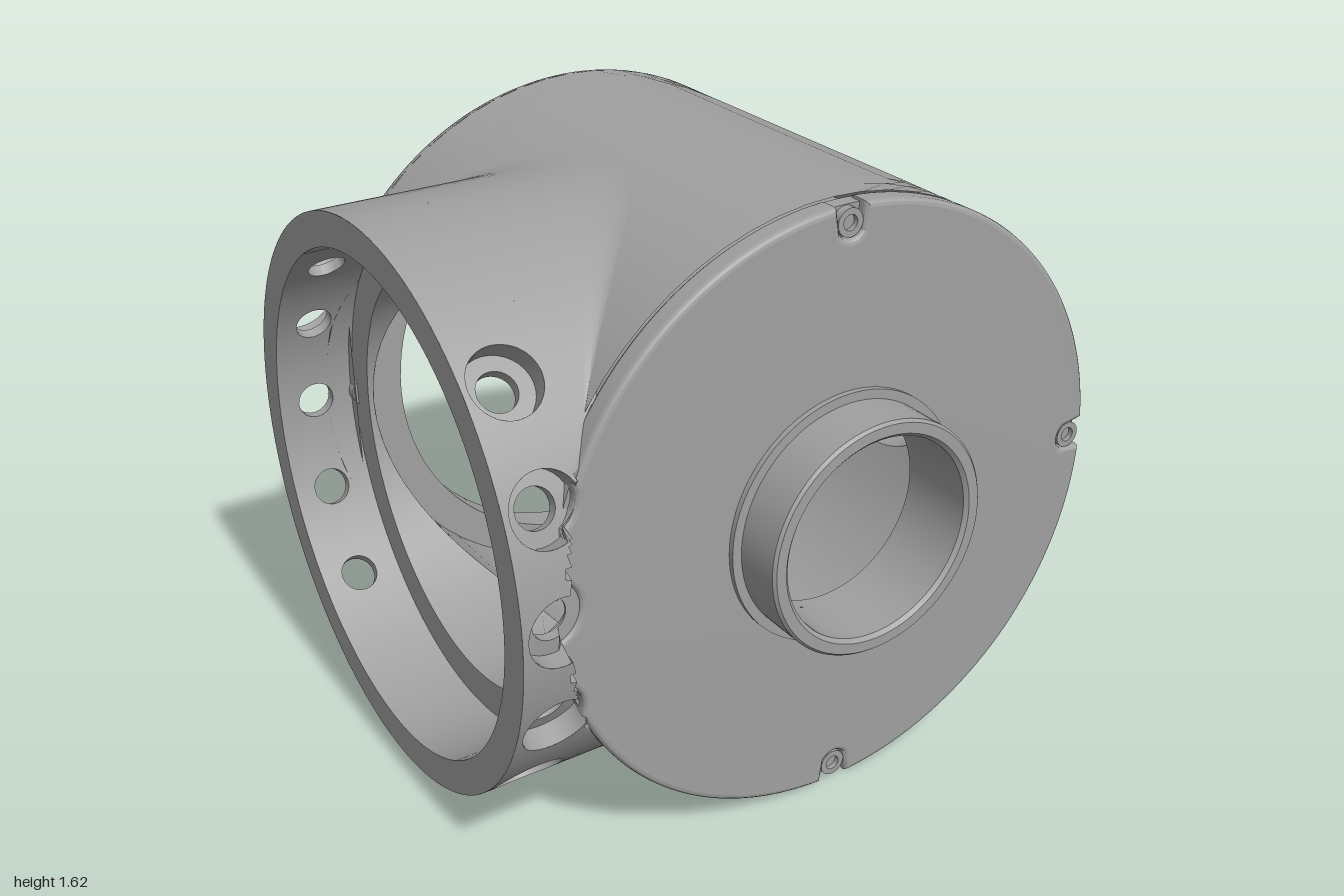
import * as THREE from 'three';
import { mergeGeometries, toCreasedNormals } from 'three/addons/utils/BufferGeometryUtils.js';

const CX = -0.065;   // x of the main body axis
const CZ = -0.035;   // z of the side pipe axis
const BODY = 0.81, CAVITY = 0.7, LIP = 0.605, FLANGE = 0.75, RECESS = 0.66, PASSAGE = 0.56, BORE = 0.27;
const HOLE_X = -0.895; // x of the flange bolts
const TAU = Math.PI * 2;

// Grid surface from a rule f(i, j) -> [x, y, z]
function surface(nu, nv, f) {
  const pos = [], index = [];
  for (let i = 0; i <= nu; i++) for (let j = 0; j <= nv; j++) pos.push(...f(i, j));
  for (let i = 0; i < nu; i++) for (let j = 0; j < nv; j++) {
    const a = i * (nv + 1) + j, b = a + nv + 1;
    index.push(a, b, a + 1, b, b + 1, a + 1);
  }
  const g = new THREE.BufferGeometry();
  g.setAttribute('position', new THREE.Float32BufferAttribute(pos, 3));
  g.setIndex(index);
  return g;
}

// Cylinder coordinates (radius, angle, distance along axis) to model space
const onBody = (R, a, s) => [R * Math.cos(a) + CX, R * Math.sin(a), s];
const onPipe = (R, a, s) => [s, R * Math.sin(a), R * Math.cos(a) + CZ];
// Trim the side pipe where it meets the front cap and the back rim
const trimmed = (R, a, s) => {
  let [x, y, z] = onPipe(R, a, s);
  if (Math.hypot(x - CX, y) < BODY) z = Math.min(z, 0.63);
  z = Math.max(z, -0.71 - THREE.MathUtils.clamp(-0.75 - x, 0, 0.08));
  return [x, y, z];
};

// Piece of cylinder wall with a round hole drilled towards the axis
function drilledWall(map, R, a, half, s0, s1, s, r, n = 8, rows = 6) {
  const corners = [[-half, s0], [half, s0], [half, s1], [-half, s1], [-half, s0]];
  return surface(rows, 4 * n, (i, j) => {
    const k = Math.min(3, Math.floor(j / n)), t = j / n - k, q = i / rows;
    const pa = THREE.MathUtils.lerp(corners[k][0], corners[k + 1][0], t);
    const ps = THREE.MathUtils.lerp(corners[k][1], corners[k + 1][1], t);
    const phi = Math.atan2(ps - s, R * pa);
    const ha = Math.asin(r * Math.cos(phi) / R);
    const hs = THREE.MathUtils.clamp(s + r * Math.sin(phi), s0, s1);
    return map(R, a + THREE.MathUtils.lerp(ha, pa, q), THREE.MathUtils.lerp(hs, ps, q));
  });
}

// Inside of a drilled hole: list of [hole radius, cylinder radius]
const drilledHole = (map, a, s, steps) => surface(steps.length - 1, 32, (i, j) => {
  const [r, R] = steps[i], phi = j / 32 * TAU;
  return map(R, a + Math.asin(r * Math.cos(phi) / R), s + r * Math.sin(phi));
});

// x where a line at height y meets a cylinder of radius R about the body axis
const saddle = (R, y, side) => CX + side * Math.sqrt(Math.max(0, R * R - y * y));

// Passage along x that ends on the cavity wall
const bore = (r, x0, side) => surface(1, 96, (i, j) => {
  const a = j / 96 * TAU;
  return onPipe(r, a, i ? saddle(CAVITY, r * Math.sin(a), side) : x0);
});

const lathe = (pts, n = 96) => new THREE.LatheGeometry(pts.map(p => new THREE.Vector2(...p)), n);
const latheZ = (pts, n) => lathe(pts, n).rotateX(Math.PI / 2);
const latheX = pts => lathe(pts).rotateZ(-Math.PI / 2).translate(0, 0, CZ);

// Pull disc edges back so they do not stick into the left recess
function clearRecess(g) {
  const p = g.attributes.position;
  for (let i = 0; i < p.count; i++) if (Math.abs(p.getY(i)) < 0.24) p.setX(i, Math.max(p.getX(i), -0.79));
  return g;
}

// Disc outline with round notches [x, y, radius] cut into its edge
function discShape(R, notches, innerR) {
  const pts = [];
  for (let i = 0; i < 720; i++) {
    const t = i / 720 * TAU;
    let r = R;
    for (const [x, y, rho] of notches) {
      const c = x * Math.cos(t) + y * Math.sin(t);
      const h = rho * rho - (x * Math.sin(t) - y * Math.cos(t)) ** 2;
      if (c > 0 && h > 0) r = Math.min(r, c - Math.sqrt(h));
    }
    pts.push(new THREE.Vector2(r * Math.cos(t), r * Math.sin(t)));
  }
  const shape = new THREE.Shape(pts);
  shape.holes.push(new THREE.Path().absarc(0, 0, innerR, 0, TAU, true));
  return shape;
}

export function createModel() {
  const group = new THREE.Group();
  const housing = new THREE.Group();
  housing.name = 'housing';
  housing.position.y = BODY;
  group.add(housing);
  const grey = new THREE.MeshStandardMaterial({ color: 0xa0a0a0, side: THREE.DoubleSide });
  grey.name = 'grey metal';

  function add(name, geos, crease = 0.5) {
    const flat = geos.map(g => {
      const h = g.index ? g.toNonIndexed() : g;
      for (const k of Object.keys(h.attributes)) if (k !== 'position') h.deleteAttribute(k);
      h.clearGroups();
      h.computeVertexNormals();
      return h;
    });
    const mesh = new THREE.Mesh(toCreasedNormals(mergeGeometries(flat), crease), grey);
    mesh.name = name;
    housing.add(mesh);
    return mesh;
  }

  // Main drum: outer wall and cavity, open towards both side pipes
  const half = Math.PI / 2;
  add('drumWall', [
    drilledWall(onBody, BODY, 0, half, -0.66, 0.57, CZ, BORE, 32, 8),
    drilledWall(onBody, BODY, Math.PI, half, -0.66, 0.57, CZ, RECESS, 32, 8)]);
  add('drumCavity', [
    drilledWall(onBody, CAVITY, 0, half, -0.62, 0.57, CZ, BORE, 32, 8),
    drilledWall(onBody, CAVITY, Math.PI, half, -0.62, 0.57, CZ, PASSAGE, 32, 8)]);

  // Back rim with rounded edge, inner lip and a ring of bolt holes
  const round = [];
  for (let i = 0; i <= 6; i++) {
    const a = i / 6 * half;
    round.push([0.76 + 0.05 * Math.cos(a), -0.66 - 0.05 * Math.sin(a)]);
  }
  add('backRim', [clearRecess(latheZ(round, 192).translate(CX, 0, 0))]);
  add('backLip', [latheZ([[LIP, -0.71], [LIP, -0.62], [CAVITY, -0.62]]).translate(CX, 0, 0)]);
  const face = discShape(0.76, [], LIP);
  const boltHoles = [];
  for (let k = 0; k < 16; k++) {
    const a = k / 16 * TAU, x = 0.685 * Math.cos(a), y = 0.685 * Math.sin(a);
    face.holes.push(new THREE.Path().absarc(x, y, 0.046, 0, TAU, true));
    boltHoles.push(latheZ([[0.046, 0], [0.046, 0.04], [0.028, 0.04], [0.028, 0.08], [0, 0.08]], 24)
      .translate(x + CX, y, -0.71));
  }
  add('backFace', [clearRecess(new THREE.ShapeGeometry(face, 48).translate(CX, 0, -0.71))]);
  add('backBoltHoles', boltHoles);

  // Front cap in two layers, notched for three screws and the flange bolts
  const screws = [[0.765, 0], [0, 0.765], [0, -0.765]];
  const notches = screws.map(([x, y]) => [x, y, 0.04]);
  for (const y of [-0.28, 0, 0.28]) notches.push([HOLE_X - CX, y, 0.085]);
  add('capBase', [clearRecess(new THREE.ExtrudeGeometry(discShape(0.803, [], BORE),
    { depth: 0.04, bevelEnabled: false, curveSegments: 48 }).translate(CX, 0, 0.57))]);
  add('cap', [new THREE.ExtrudeGeometry(discShape(BODY, notches, 0.3), {
    depth: 0.04, bevelThickness: 0.015, bevelSize: 0.015, bevelOffset: -0.015, bevelSegments: 3, curveSegments: 48,
  }).translate(CX, 0, 0.585)], 0.2);
  for (const [x, y] of screws) {
    const screw = add('capScrew',
      [latheZ([[0.036, 0], [0.036, 0.022], [0.02, 0.022], [0.02, 0.008], [0, 0.008]], 24)]);
    screw.position.set(CX + x, y, 0.61);
  }

  // Front spout
  add('frontSpout', [latheZ([[0.34, 0.63], [0.34, 0.655], [0.315, 0.655], [0.315, 0.782], [0.308, 0.79],
    [0.28, 0.79], [BORE, 0.78], [BORE, 0.57]]).translate(CX, 0, 0)]);

  // Right spout with a small fillet where it leaves the drum
  const flare = [[0.38, -0.005], [0.365, 0.005], [0.355, 0.018], [0.35, 0.035]];
  add('sideSpout', [
    surface(4, 96, (i, j) => {
      const a = j / 96 * TAU, r = i < 4 ? flare[i][0] : 0.35;
      return onPipe(r, a, i < 4 ? saddle(BODY, r * Math.sin(a), 1) + flare[i][1] : 0.893);
    }),
    latheX([[0.35, 0.893], [0.343, 0.9], [0.31, 0.9], [0.31, 0.992], [0.302, 1], [0.28, 1], [BORE, 0.99]]),
    bore(BORE, 0.99, 1)]);

  // Large flanged pipe: drilled collar, neck, recess and passage
  const outer = [], inner = [], holes = [];
  for (let k = 0; k < 16; k++) {
    const a = k / 16 * TAU, drilled = Math.abs(Math.cos(a)) > 0.7;
    outer.push(drilledWall(trimmed, FLANGE, a, TAU / 32, -1, -0.79, HOLE_X, drilled ? 0.09 : 0, 12, 20));
    inner.push(drilledWall(onPipe, RECESS, a, TAU / 32, -1, -0.78, HOLE_X, drilled ? 0.05 : 0));
    if (drilled) holes.push(drilledHole(trimmed, a, HOLE_X, [[0.09, FLANGE], [0.09, 0.69], [0.05, 0.69], [0.05, RECESS]]));
  }
  add('flangeCollar', outer);
  add('flangeRecess', inner);
  add('flangeBoltHoles', holes);
  add('flangeNeck', [surface(16, 128, (i, j) => {
    const a = j / 128 * TAU;
    const end = Math.max(-0.74, saddle(0.79, FLANGE * Math.sin(a), -1));
    return trimmed(FLANGE, a, THREE.MathUtils.lerp(-0.79, end, i / 16));
  })]);
  // Soft blend between neck and drum, fading out towards front and back
  add('neckFillet', [surface(6, 128, (i, j) => {
    const a = j / 128 * TAU, t = i / 6, fade = Math.max(0, 1 - (Math.cos(a) / 0.8) ** 2);
    const x = saddle(BODY, FLANGE * Math.sin(a), -1), r = FLANGE + 0.03 * fade;
    const A = new THREE.Vector3(...onPipe(FLANGE, a, x - 0.12 * fade));
    const C = new THREE.Vector3(...onPipe(FLANGE, a, x));
    const B = new THREE.Vector3(...onPipe(r, a, saddle(BODY, r * Math.sin(a), -1)));
    return new THREE.QuadraticBezierCurve3(A, C, B).getPoint(t).toArray();
  })]);
  add('flangeFace', [latheX([[FLANGE, -1], [RECESS, -1]])]);
  add('flangeStep', [latheX([[RECESS, -0.78], [PASSAGE, -0.78]])]);
  add('flangePassage', [bore(PASSAGE, -0.78, -1)]);

  return group;
}
